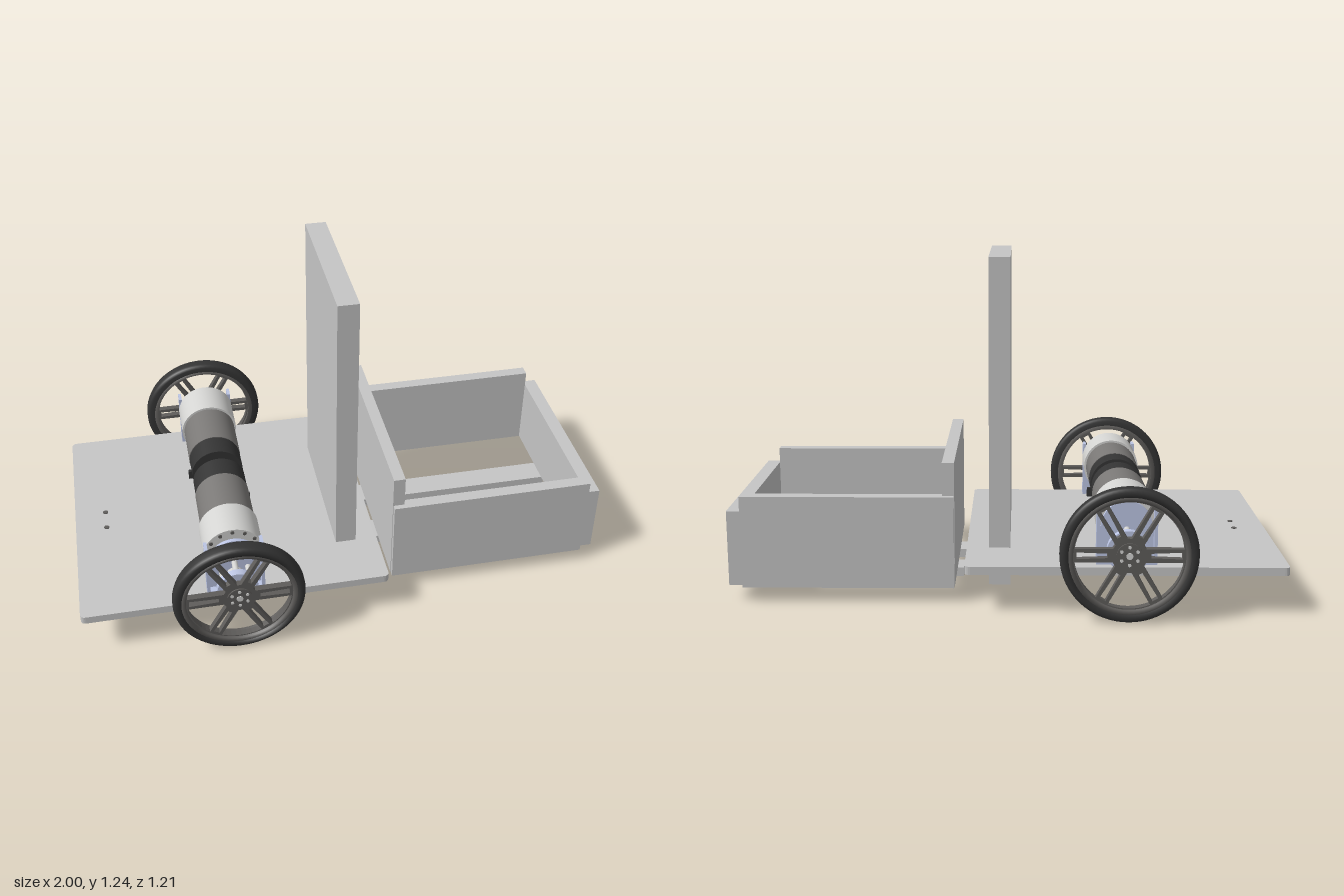
import * as THREE from 'three';

const mat = (name, color) => Object.assign(new THREE.MeshStandardMaterial({ color }), { name });

export function createModel() {
  const panelGrey = mat('panel grey', 0xc6c6c6);
  const silver = mat('silver', 0xd4d4d2);
  const motorGrey = mat('motor grey', 0x7a7876);
  const rimGrey = mat('rim grey', 0x5e5c5a);
  const black = mat('black', 0x343434);
  const blue = mat('pale blue', 0xbcc5e4);

  const model = new THREE.Group();
  const add = (parent, name, geo, material, x = 0, y = 0, z = 0) => {
    const m = new THREE.Mesh(geo, material);
    m.name = name;
    m.position.set(x, y, z);
    parent.add(m);
    return m;
  };
  // box given by its limits on each axis
  const box = (parent, name, material, x0, x1, y0, y1, z0, z1) =>
    add(parent, name, new THREE.BoxGeometry(x1 - x0, y1 - y0, z1 - z0), material,
      (x0 + x1) / 2, (y0 + y1) / 2, (z0 + z1) / 2);
  // cylinder along z between two limits
  const rod = (parent, name, material, r, x, y, z0, z1, sides = 48) =>
    add(parent, name, new THREE.CylinderGeometry(r, r, z1 - z0, sides).rotateX(Math.PI / 2),
      material, x, y, (z0 + z1) / 2);
  // upright cylinder between two heights
  const post = (parent, name, material, r, x, y0, y1, z, sides = 32) =>
    add(parent, name, new THREE.CylinderGeometry(r, r, y1 - y0, sides), material, x, (y0 + y1) / 2, z);

  // base plate with rounded corners
  const plate = new THREE.Shape();
  const hx = 0.57, hz = 0.517, c = 0.02;
  plate.moveTo(-hx + c, -hz).lineTo(hx - c, -hz).quadraticCurveTo(hx, -hz, hx, -hz + c)
    .lineTo(hx, hz - c).quadraticCurveTo(hx, hz, hx - c, hz)
    .lineTo(-hx + c, hz).quadraticCurveTo(-hx, hz, -hx, hz - c)
    .lineTo(-hx, -hz + c).quadraticCurveTo(-hx, -hz, -hx + c, -hz);
  const plateGeo = new THREE.ExtrudeGeometry(plate, { depth: 0.03, bevelEnabled: false, curveSegments: 6 });
  add(model, 'basePlate', plateGeo.rotateX(-Math.PI / 2), panelGrey, -0.43, 0.146, 0);

  // upright panel, passing through the plate
  box(model, 'uprightPanel', panelGrey, -0.02, 0.058, 0.035, 1.237, -0.3, 0.3);

  // open tray
  const tray = new THREE.Group();
  tray.name = 'tray';
  model.add(tray);
  box(tray, 'trayBackWall', panelGrey, 0.18, 0.224, 0.057, 0.515, -0.38, 0.38);
  box(tray, 'trayFrontWall', panelGrey, 0.948, 1, 0.057, 0.335, -0.38, 0.38);
  for (const s of [-1, 1]) {
    box(tray, 'traySideWall', panelGrey, 0.182, 0.948, 0.055, 0.394,
      s > 0 ? 0.355 : -0.4, s > 0 ? 0.4 : -0.355);
    box(tray, 'traySlat', panelGrey, 0.157, 0.96, 0.018, 0.052,
      s > 0 ? 0.065 : -0.163, s > 0 ? 0.163 : -0.065);
  }

  // casters under the plate
  for (const x of [-0.882, 0.02]) {
    const caster = new THREE.Group();
    caster.name = 'caster';
    caster.position.x = x;
    model.add(caster);
    box(caster, 'casterBlock', panelGrey, -0.068, 0.068, 0.105, 0.146, -0.068, 0.068);
    box(caster, 'casterSpacer', panelGrey, -0.052, 0.052, 0.087, 0.105, -0.052, 0.052);
    add(caster, 'casterBall', new THREE.SphereGeometry(0.034, 24, 16), silver, 0, 0.052, 0);
    post(caster, 'casterStem', silver, 0.018, 0, 0.06, 0.09, 0);
    post(caster, 'casterCup', black, 0.043, 0, 0.006, 0.054, 0);
    box(caster, 'casterFlange', black, -0.03, 0.03, 0, 0.015, -0.06, 0.06);
  }
  for (const s of [-1, 1]) post(model, 'plateScrew', rimGrey, 0.01, -0.882, 0.174, 0.179, s * 0.045, 12);

  // wheel centre: one extrusion with wedge windows and slotted spokes
  const polar = (r, a) => new THREE.Vector2(r * Math.cos(a), r * Math.sin(a));
  const spokes = new THREE.Shape().absarc(0, 0, 0.2, 0, Math.PI * 2);
  const w = 0.024, step = Math.PI / 3;
  for (let i = 0; i < 6; i++) {
    const a = i * step, r0 = 0.062, r1 = 0.19;
    const a0 = Math.asin(w / r0), a1 = Math.asin(w / r1);
    const pts = [polar(r0, a + a0)];
    for (let k = 0; k <= 8; k++) pts.push(polar(r1, a + a1 + (step - 2 * a1) * k / 8));
    pts.push(polar(r0, a + step - a0));
    spokes.holes.push(new THREE.Path(pts));
    const slot = [[0.075, -0.008], [0.182, -0.012], [0.182, 0.012], [0.075, 0.008]]
      .map(([x, y]) => new THREE.Vector2(x, y).rotateAround(new THREE.Vector2(), a));
    spokes.holes.push(new THREE.Path(slot));
  }
  const spokeGeo = new THREE.ExtrudeGeometry(spokes, { depth: 0.024, bevelEnabled: false, curveSegments: 32 });
  // closed ring around z from a radius / width profile
  const ring = (pts) => new THREE.LatheGeometry(
    pts.map(([r, z]) => new THREE.Vector2(r, z)), 72).rotateX(Math.PI / 2);
  const tyreGeo = ring([[0.21, -0.028], [0.228, -0.028], [0.237, -0.022], [0.24, -0.012], [0.24, 0.012],
    [0.237, 0.022], [0.228, 0.028], [0.21, 0.028], [0.21, -0.028]]);
  const rimGeo = ring([[0.194, -0.024], [0.213, -0.024], [0.213, 0.024], [0.194, 0.024], [0.194, -0.024]]);

  // arched face of the motor bracket
  const arch = new THREE.Shape();
  arch.moveTo(-0.107, 0.175).lineTo(0.107, 0.175).lineTo(0.107, 0.31)
    .absarc(0, 0.31, 0.09, 0, Math.PI).lineTo(-0.107, 0.31);
  const archGeo = new THREE.ExtrudeGeometry(arch, { depth: 0.014, bevelEnabled: false, curveSegments: 24 });

  // drive unit: wheel, hub, bracket, gearbox and motor; the second is turned round
  for (const turn of [0, Math.PI]) {
    const drive = new THREE.Group();
    drive.name = turn ? 'rearDrive' : 'frontDrive';
    drive.position.x = -0.43;
    drive.rotation.y = turn;
    model.add(drive);
    const wy = 0.242, my = 0.332;

    add(drive, 'tyre', tyreGeo, black, 0, wy, 0.576);
    add(drive, 'wheelRim', rimGeo, rimGrey, 0, wy, 0.576);
    add(drive, 'wheelSpokes', spokeGeo, rimGrey, 0, wy, 0.566);
    rod(drive, 'wheelBoss', rimGrey, 0.045, 0, wy, 0.55, 0.595);
    rod(drive, 'axleEnd', silver, 0.012, 0, wy, 0.45, 0.598, 24);
    rod(drive, 'hubFlange', blue, 0.075, 0, wy, 0.522, 0.549);
    rod(drive, 'hubCore', silver, 0.032, 0, wy, 0.46, 0.525);
    for (let i = 0; i < 6; i++) {
      const p = polar(0.056, (i + 0.5) * step);
      rod(drive, 'hubPillar', silver, 0.011, p.x, wy + p.y, 0.46, 0.525, 16);
      const q = polar(0.032, (i + 0.5) * step);
      rod(drive, 'wheelBolt', silver, 0.006, q.x, wy + q.y, 0.59, 0.598, 12);
    }

    add(drive, 'bracketFace', archGeo, blue, 0, 0, 0.45);
    for (const s of [-1, 1]) {
      box(drive, 'bracketFlange', blue, s > 0 ? 0.095 : -0.107, s > 0 ? 0.107 : -0.095,
        0.175, 0.395, 0.445, 0.488);
    }
    box(drive, 'bracketFoot', blue, -0.107, 0.107, 0.175, 0.19, 0.45, 0.488);

    rod(drive, 'gearbox', silver, 0.11, 0, my, 0.303, 0.45);
    rod(drive, 'motor', motorGrey, 0.102, 0, my, 0.115, 0.303);
    rod(drive, 'encoder', black, 0.1, 0, my, 0.022, 0.115);
    box(drive, 'encoderPlug', black, 0.085, 0.11, 0.265, 0.3, 0.082, 0.096);
    for (let i = 0; i < 5; i++) {
      const p = polar(0.098, Math.PI * (0.2 + 0.15 * i));
      rod(drive, 'gearboxScrew', rimGrey, 0.007, p.x, my + p.y, 0.447, 0.454, 12);
    }
  }
  return model;
}
